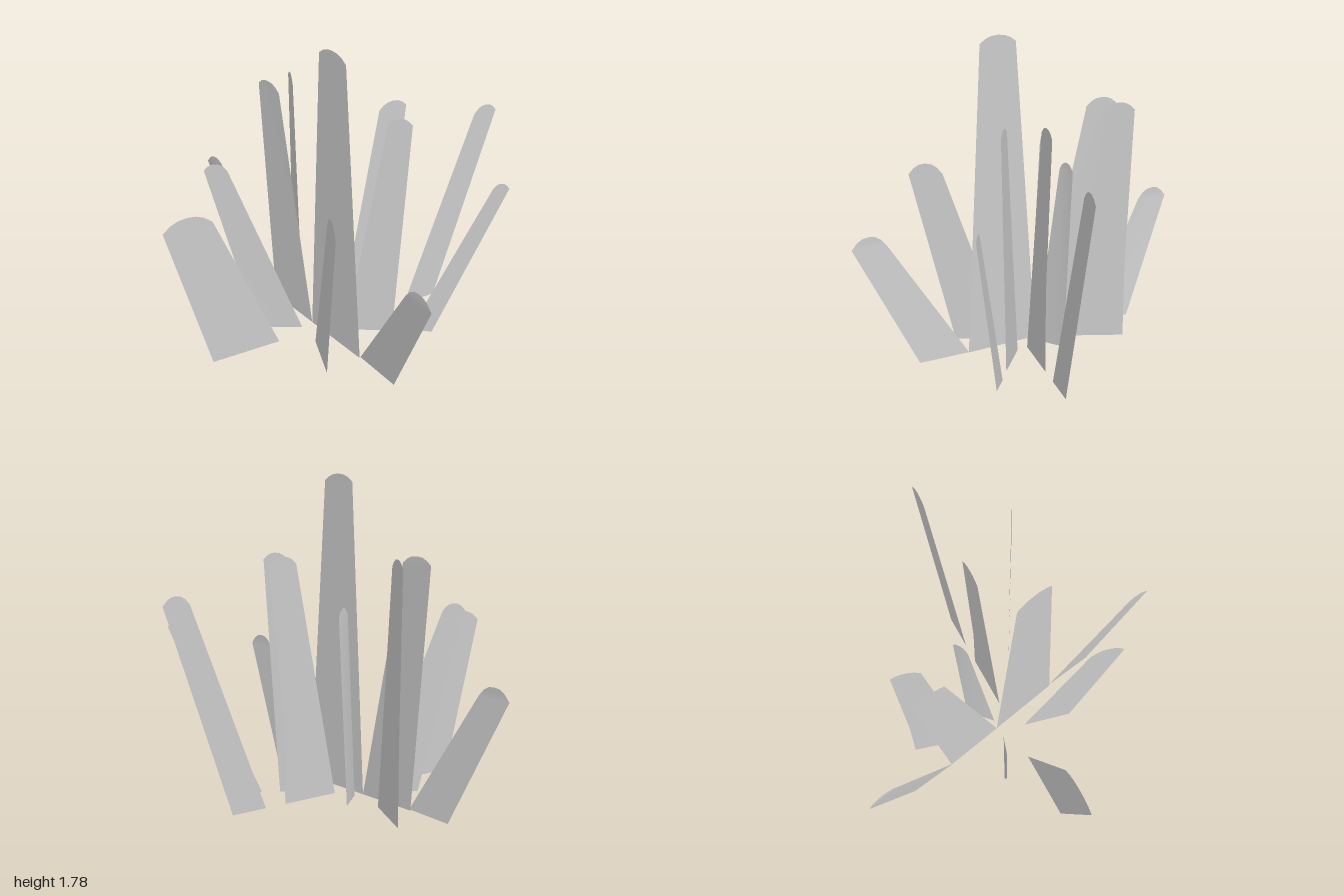
import * as THREE from 'three';

// Each blade: base corners a, b [x, z]; shoulder corners c (above a), d (above b);
// y0 base height, y1 shoulder height, y2 tip height; bend: optional height up to which edge b stays upright
const BLADES = [
  // blades across the width
  { a: [-0.78, 0.01], b: [-0.38, 0.01], c: [-1.0, 0.01], d: [-0.73, 0.01], y0: 0.015, y1: 0.91, y2: 0.97 },
  { a: [0.0, 0.02], b: [0.32, 0.02], c: [0.24, 0.02], d: [0.405, 0.02], y0: 0.015, y1: 1.33, y2: 1.37, bend: 0.47 },
  { a: [0.44, 0.02], b: [0.64, 0.02], c: [0.855, 0.02], d: [1.0, 0.02], y0: 0.015, y1: 1.17, y2: 1.215 },
  // blades across the depth, slightly tilted
  { a: [-0.04, 0.35], b: [0.005, 0.64], c: [-0.035, 0.79], d: [-0.005, 0.98], y0: 0.015, y1: 0.71, y2: 0.77 },
  { a: [-0.13, -0.07], b: [-0.045, 0.35], c: [-0.125, 0.04], d: [-0.085, 0.25], y0: 0.01, y1: 1.74, y2: 1.78 },
  { a: [-0.2, -0.42], b: [-0.13, -0.07], c: [-0.195, -0.57], d: [-0.16, -0.38], y0: 0.01, y1: 1.35, y2: 1.39 },
  { a: [-0.24, -0.69], b: [-0.2, -0.41], c: [-0.375, -0.98], d: [-0.34, -0.79], y0: 0.015, y1: 0.71, y2: 0.77 },
  // loose blades at other angles
  { a: [-0.43, -0.18], b: [-0.2, -0.06], c: [-0.65, -0.295], d: [-0.54, -0.235], y0: 0.005, y1: 1.04, y2: 1.08 },
  { a: [-0.19, 0.09], b: [-0.26, 0.37], c: [-0.277, 0.42], d: [-0.325, 0.6], y0: 0, y1: 1.0, y2: 1.06 },
  { a: [-0.1, -0.26], b: [-0.01, -0.57], c: [-0.043, -0.45], d: [0.0, -0.6], y0: 0, y1: 1.35, y2: 1.39, bend: 0.45 },
  { a: [-0.08, -0.06], b: [0.05, -0.18], c: [0.03, -0.155], d: [0.115, -0.2], y0: 0.01, y1: 1.06, y2: 1.105 },
  { a: [0.01, 0.08], b: [0.24, 0.217], c: [0.195, 0.19], d: [0.305, 0.255], y0: 0.01, y1: 1.33, y2: 1.365 },
  { a: [0.33, 0.265], b: [0.44, 0.33], c: [0.685, 0.475], d: [0.76, 0.515], y0: 0.01, y1: 0.965, y2: 0.995 },
];

const mix = (p, q, t) => p.map((v, i) => v + (q[i] - v) * t);

// A flat blade as a strip of rows: base, optional bend, shoulders, rounded tip
function bladeGeometry({ a, b, c, d, y0, y1, y2, bend }) {
  const rows = [[a, b, y0]];
  if (bend) rows.push([mix(a, c, (bend - y0) / (y1 - y0)), b, bend]);
  for (const [inset, rise] of [[0, 0], [0.16, 0.6], [0.32, 0.92], [0.48, 1]]) {
    rows.push([mix(c, d, inset), mix(d, c, inset), y1 + (y2 - y1) * rise]);
  }
  const pos = [], index = [];
  rows.forEach(([l, r, y], i) => {
    pos.push(l[0], y, l[1], r[0], y, r[1]);
    if (i) {
      const k = 2 * i;
      index.push(k - 2, k - 1, k, k - 1, k + 1, k);
    }
  });
  const geo = new THREE.BufferGeometry();
  geo.setAttribute('position', new THREE.Float32BufferAttribute(pos, 3));
  geo.setIndex(index);
  geo.computeVertexNormals();
  return geo;
}

export function createModel() {
  const group = new THREE.Group();
  group.name = 'grassTuft';
  const material = new THREE.MeshStandardMaterial({ color: 0xcccccc, side: THREE.DoubleSide });
  BLADES.forEach((blade, i) => {
    const mesh = new THREE.Mesh(bladeGeometry(blade), material);
    mesh.name = `blade${i + 1}`;
    group.add(mesh);
  });
  return group;
}
